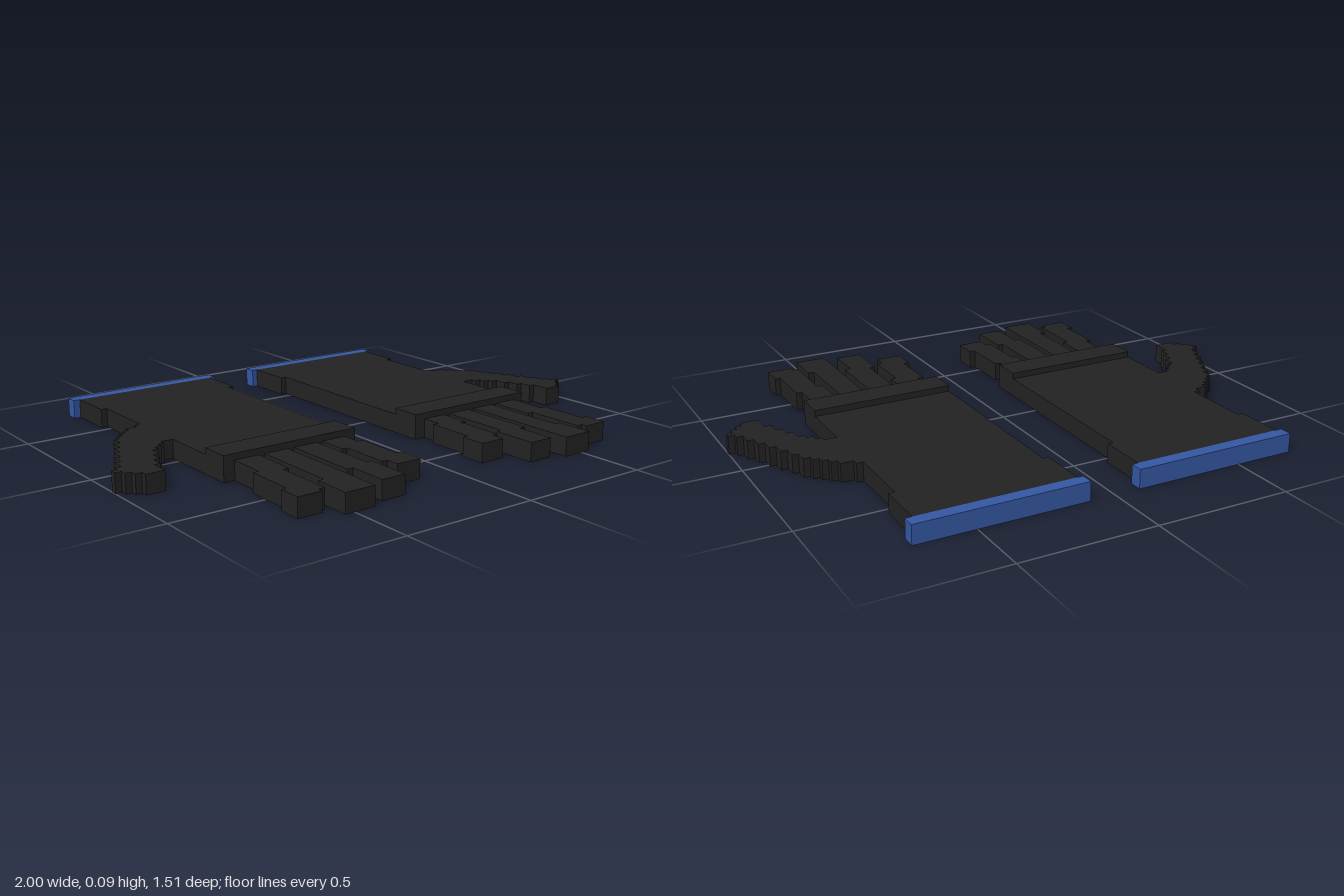
import * as THREE from 'three';

const black = new THREE.MeshStandardMaterial({ color: 0x232323 });
black.name = 'black fabric';
const blue = new THREE.MeshStandardMaterial({ color: 0x3558a5 });
blue.name = 'blue trim';

const THICK = 0.07;

// Box given by its x and z ranges, standing on y = 0; side mirrors it in x
function slab(parent, name, side, x0, x1, z0, z1, material = black, height = THICK) {
  const mesh = new THREE.Mesh(new THREE.BoxGeometry(x1 - x0, height, z1 - z0), material);
  mesh.position.set(side * (x0 + x1) / 2, height / 2, (z0 + z1) / 2);
  mesh.name = name;
  parent.add(mesh);
}

// Finger segments: x0, x1, z0, z1
const FINGERS = {
  littleFinger: [[0.182, 0.278, 0.285, 0.40], [0.16, 0.257, 0.36, 0.585], [0.138, 0.235, 0.54, 0.635]],
  ringFinger: [[0.30, 0.396, 0.285, 0.58], [0.278, 0.372, 0.56, 0.727]],
  middleFinger: [[0.42, 0.513, 0.285, 0.65], [0.42, 0.535, 0.615, 0.755]],
  indexFinger: [[0.535, 0.63, 0.285, 0.46], [0.557, 0.652, 0.43, 0.68], [0.58, 0.672, 0.615, 0.70]],
};

// Thumb rows in grid steps away from the palm edge
const STEP = 0.0234;
const THUMB_OUTER = [1, 3, 4, 5, 6, 7, 7, 8, 8, 9, 9, 10, 10, 11, 11, 12, 12, 13, 14, 13, 12, 11];
const THUMB_INNER = [0, 0, 0, 0, 0, 0, 0, 0, 0, 0, 2, 3, 4, 5, 5, 6, 6, 7, 7, 8, 8, 8];

function createGlove(side) {
  const glove = new THREE.Group();
  glove.name = side > 0 ? 'leftGlove' : 'rightGlove';

  // Hand and wrist
  slab(glove, 'cuffTrim', side, 0.094, 0.72, -0.757, -0.71, blue);
  slab(glove, 'wrist', side, 0.116, 0.695, -0.71, -0.53);
  slab(glove, 'palm', side, 0.138, 0.672, -0.53, 0.175);
  slab(glove, 'knuckleBand', side, 0.138, 0.672, 0.175, 0.288, black, 0.093);

  // Fingers
  for (const [name, segments] of Object.entries(FINGERS)) {
    const finger = new THREE.Group();
    finger.name = name;
    segments.forEach((s, i) => slab(finger, 'segment' + (i + 1), side, ...s));
    glove.add(finger);
  }

  // Stepped thumb
  const thumb = new THREE.Group();
  thumb.name = 'thumb';
  THUMB_OUTER.forEach((n, k) => {
    const z = -0.272 + k * STEP;
    slab(thumb, 'thumbRow', side, 0.672 + THUMB_INNER[k] * STEP, 0.672 + n * STEP, z, z + STEP);
  });
  glove.add(thumb);
  return glove;
}

export function createModel() {
  const model = new THREE.Group();
  model.name = 'pairOfGloves';
  model.add(createGlove(1), createGlove(-1));
  return model;
}
